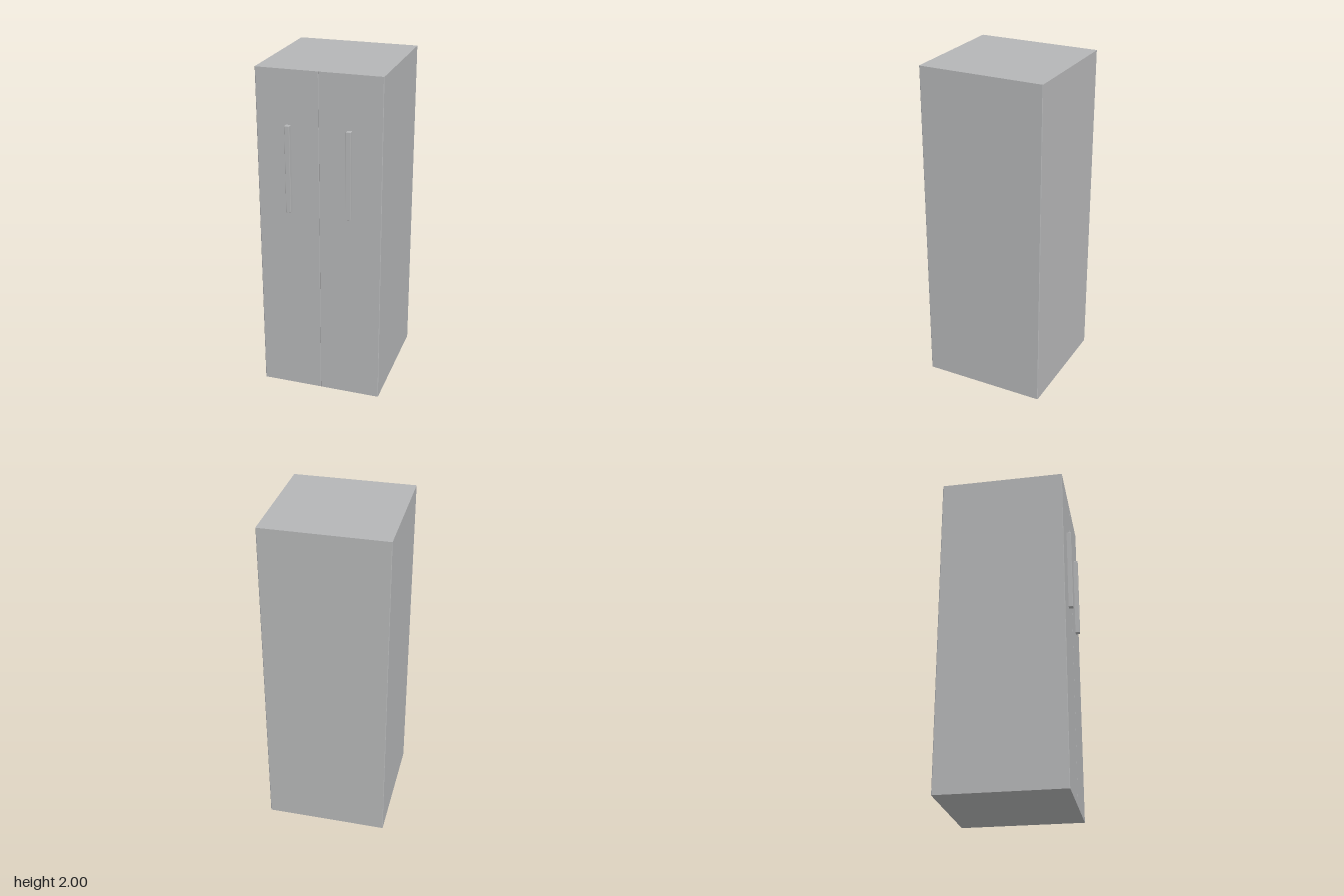
import * as THREE from 'three';
import { RoundedBoxGeometry } from 'three/addons/geometries/RoundedBoxGeometry.js';

const HEIGHT = 2, HALF = 0.367, BACK = -0.39, FRONT = 0.363, BEVEL = 0.003;

const steel = new THREE.MeshStandardMaterial({ color: 0xb4b5b6 });
steel.name = 'brushed steel grey';

// Upright cabinet half: plan outline with softened front corners, so the pair meets in a fine door seam
function cabinetHalf(side) {
  const plan = [
    [0, BACK], [HALF - BEVEL, BACK], [HALF, BACK + BEVEL],
    [HALF, FRONT - BEVEL], [HALF - BEVEL, FRONT],
    [0.002, FRONT], [0, FRONT - BEVEL],
  ];
  // Shape y becomes -z once the extrusion is stood upright
  const shape = new THREE.Shape(plan.map(([x, z]) => new THREE.Vector2(side * x, -z)));
  const geometry = new THREE.ExtrudeGeometry(shape, { depth: HEIGHT, bevelEnabled: false });
  geometry.rotateX(-Math.PI / 2);
  return new THREE.Mesh(geometry, steel);
}

// Vertical bar handle mounted flat on the door
function doorHandle(side) {
  const depth = 0.39 - FRONT + 0.006;
  const mesh = new THREE.Mesh(new RoundedBoxGeometry(0.03, 0.52, depth, 2, 0.003), steel);
  mesh.position.set(side * 0.178, 1.425, 0.39 - depth / 2);
  return mesh;
}

export function createModel() {
  const model = new THREE.Group();
  model.name = 'refrigerator';
  for (const [side, label] of [[1, 'left'], [-1, 'right']]) {
    const cabinet = cabinetHalf(side);
    cabinet.name = `${label}CabinetAndDoor`;
    const handle = doorHandle(side);
    handle.name = `${label}DoorHandle`;
    model.add(cabinet, handle);
  }
  return model;
}
